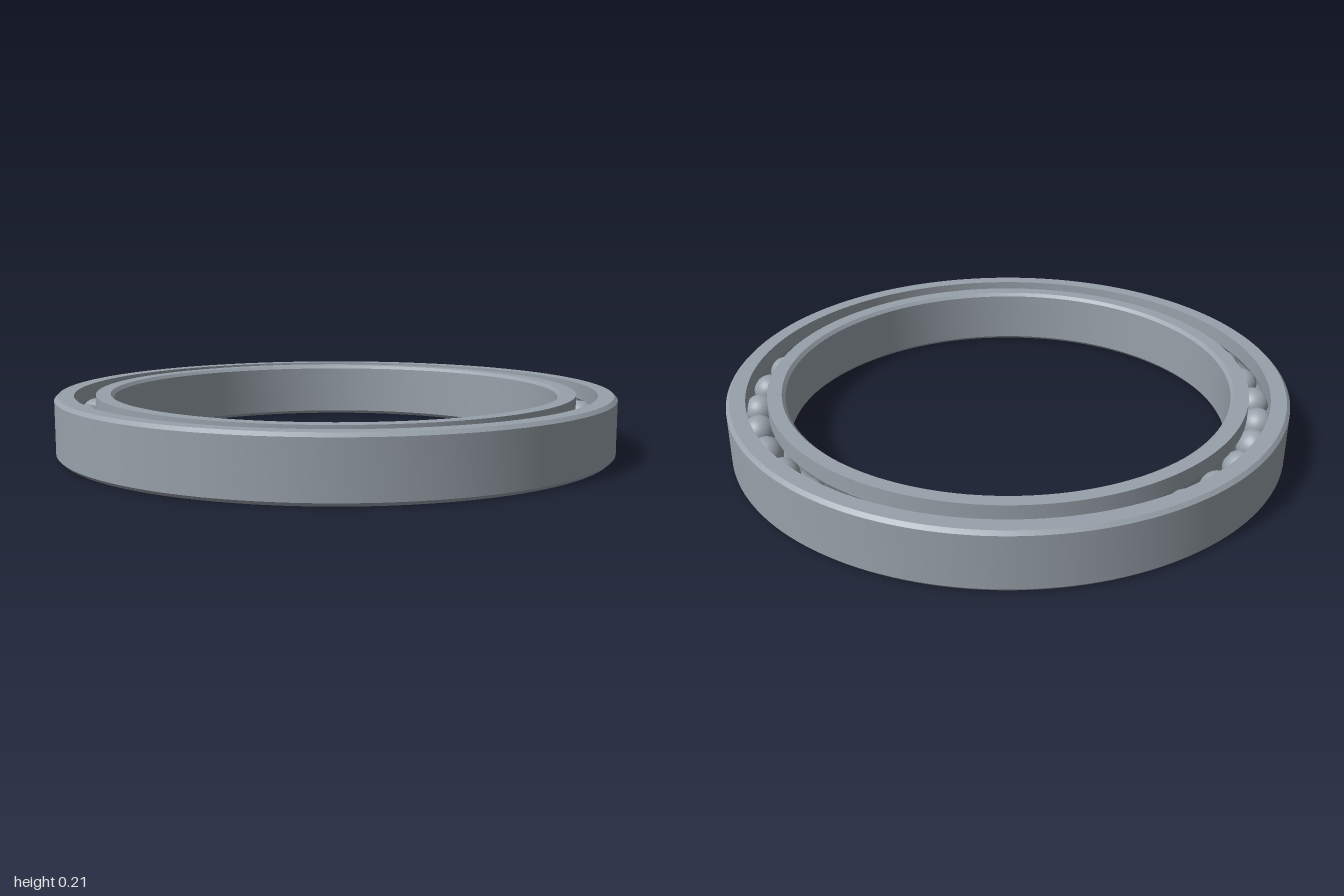
import * as THREE from 'three';
import { toCreasedNormals } from 'three/addons/utils/BufferGeometryUtils.js';

const HEIGHT = 0.21, MID = HEIGHT / 2;
const PITCH = 0.896;        // radius of the ball circle
const BALL = 0.058;
const GAP = 0.037;          // half the gap between the rings
const CHAMFER = 0.012;
const BALL_COUNT = 35;

// Cross-section of a ring: chamfered on the wall side, ball groove on the gap side.
// side = 1 for the outer ring, -1 for the inner ring.
function ringGeometry(wall, side) {
  const p = [];
  const add = (r, y) => p.push(new THREE.Vector2(r, y));
  const gapR = PITCH + side * GAP;
  // wall, bottom to top
  add(wall - side * CHAMFER, 0);
  add(wall, CHAMFER);
  add(wall, HEIGHT - CHAMFER);
  add(wall - side * CHAMFER, HEIGHT);
  // gap side, top to bottom, with the groove as an arc
  add(gapR, HEIGHT);
  const grooveR = BALL + 0.001;
  const open = Math.acos(GAP / grooveR);
  for (let i = 0; i <= 12; i++) {
    const a = open * (1 - i / 6);
    add(PITCH + side * grooveR * Math.cos(a), MID + grooveR * Math.sin(a));
  }
  add(gapR, 0);
  add(wall - side * CHAMFER, 0);
  if (side < 0) p.reverse();
  return toCreasedNormals(new THREE.LatheGeometry(p, 160), 0.5);
}

export function createModel() {
  const group = new THREE.Group();
  group.name = 'ballBearing';
  const steel = new THREE.MeshStandardMaterial({ color: 0x98a1aa });
  steel.name = 'steel';

  const addMesh = (name, geometry, parent = group) => {
    const mesh = new THREE.Mesh(geometry, steel);
    mesh.name = name;
    parent.add(mesh);
    return mesh;
  };

  addMesh('outerRing', ringGeometry(1, 1));
  addMesh('innerRing', ringGeometry(0.796, -1));

  // Balls evenly spaced between the rings
  const balls = new THREE.Group();
  balls.name = 'balls';
  group.add(balls);
  const ballGeometry = new THREE.SphereGeometry(BALL, 32, 20);
  for (let i = 0; i < BALL_COUNT; i++) {
    const a = (i / BALL_COUNT) * Math.PI * 2 - 0.0175;
    addMesh('ball', ballGeometry, balls)
      .position.set(PITCH * Math.sin(a), MID, -PITCH * Math.cos(a));
  }
  return group;
}
